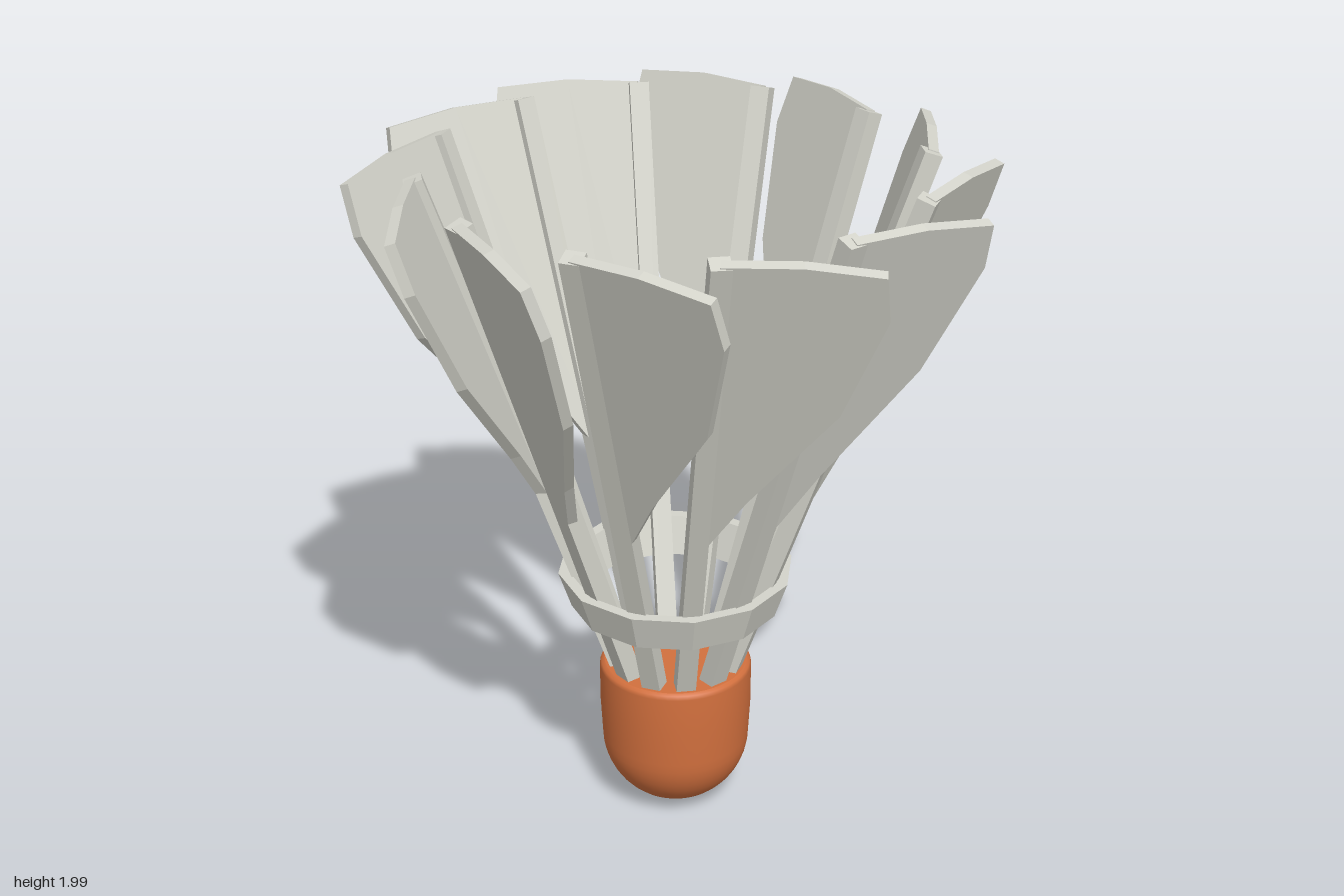
import * as THREE from 'three';

const COUNT = 12;
const TILT = Math.atan(0.348);   // outward lean of every quill
const YAW = 0.2;                 // twist of each vane about its quill
const BASE_Y = 0.46, BASE_R = 0.17;

export function createModel() {
  const feather = new THREE.MeshStandardMaterial({ color: 0xd4d4cb, flatShading: true });
  feather.name = 'feather grey';
  const cork = new THREE.MeshStandardMaterial({ color: 0xd2703e });
  cork.name = 'cork orange';

  const model = new THREE.Group();
  model.name = 'shuttlecock';

  // Rounded cork base
  const profile = [new THREE.Vector2(0, 0.005)];
  for (let i = 1; i <= 12; i++) {
    const a = (i / 12) * Math.PI / 2;
    profile.push(new THREE.Vector2(0.216 * Math.sin(a), 0.22 - 0.215 * Math.cos(a)));
  }
  profile.push(new THREE.Vector2(0.222, 0.33), new THREE.Vector2(0.222, 0.445),
    new THREE.Vector2(0.218, 0.457), new THREE.Vector2(0.208, 0.462));
  const base = new THREE.Mesh(new THREE.LatheGeometry(profile, 48), cork);
  base.name = 'corkBase';
  const lid = new THREE.Mesh(new THREE.CircleGeometry(0.208, 48), cork);
  lid.name = 'corkTop';
  lid.rotation.x = -Math.PI / 2;
  lid.position.y = 0.462;
  model.add(base, lid);

  // Flared twelve-sided binding ring
  const ringProfile = [[0.27, 0.66], [0.303, 0.66], [0.34, 0.77], [0.307, 0.77], [0.27, 0.66]]
    .map(([r, y]) => new THREE.Vector2(r, y));
  const ring = new THREE.Mesh(new THREE.LatheGeometry(ringProfile, COUNT), feather);
  ring.name = 'bindingRing';
  model.add(ring);

  // Quill: a square bar measured along its own slope
  const along = (y) => (y - BASE_Y) / Math.cos(TILT);
  const low = along(0.4), high = along(1.985);
  const quillGeometry = new THREE.BoxGeometry(0.056, high - low, 0.052);
  quillGeometry.translate(0, (low + high) / 2, 0);

  // Vane: a flat plate to one side of the quill, given as sideways offset and height
  const outline = [[0, 1.03], [0.02, 1.03], [0.12, 1.21], [0.33, 1.52],
    [0.42, 1.83], [0.4, 1.965], [0.2, 1.99], [0, 1.988]]
    .map(([u, y]) => new THREE.Vector2(
      u / Math.cos(YAW), along(y + u * Math.tan(YAW) * Math.sin(TILT))));
  const vaneGeometry = new THREE.ExtrudeGeometry(new THREE.Shape(outline),
    { depth: 0.03, bevelEnabled: false });
  vaneGeometry.translate(0, 0, -0.01);
  vaneGeometry.rotateY(-YAW);

  // Twelve feathers around the cork
  for (let i = 0; i < COUNT; i++) {
    const spoke = new THREE.Group();
    spoke.name = `feather${i + 1}`;
    spoke.rotation.y = (i / COUNT) * Math.PI * 2;
    const lean = new THREE.Group();
    lean.name = 'featherLean';
    lean.position.set(0, BASE_Y, BASE_R);
    lean.rotation.x = TILT;
    const quill = new THREE.Mesh(quillGeometry, feather);
    quill.name = 'quill';
    const vane = new THREE.Mesh(vaneGeometry, feather);
    vane.name = 'vane';
    lean.add(quill, vane);
    spoke.add(lean);
    model.add(spoke);
  }
  return model;
}
